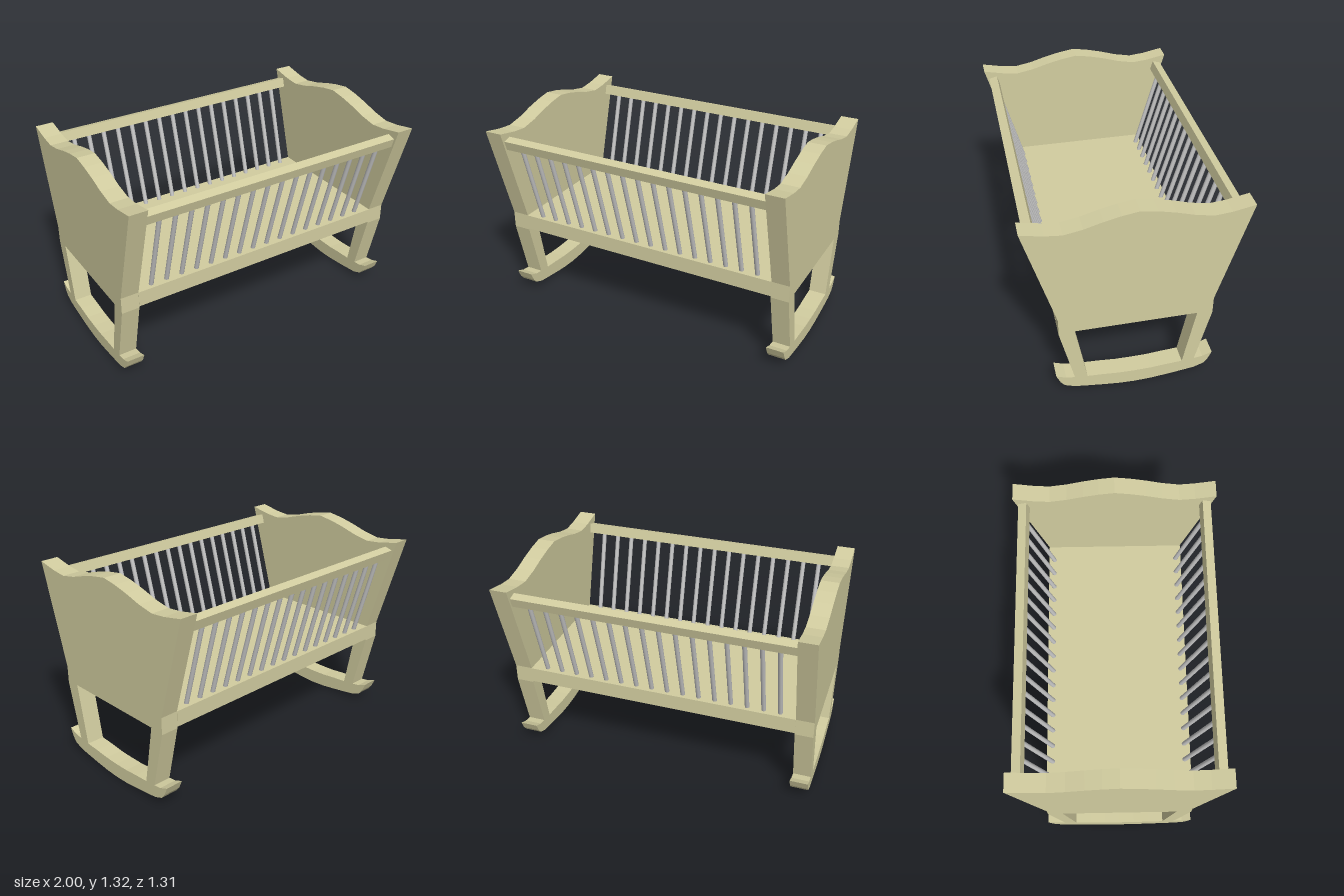
import * as THREE from 'three';

export function createModel() {
  const model = new THREE.Group();
  const wood = new THREE.MeshStandardMaterial({ color: 0xd2cda0 });
  wood.name = 'pale wood';
  const metal = new THREE.MeshStandardMaterial({ color: 0xc4c4c4 });
  metal.name = 'grey rod';

  const add = (geometry, material, name, parent = model) => {
    const mesh = new THREE.Mesh(geometry, material);
    mesh.name = name;
    parent.add(mesh);
    return mesh;
  };

  // Mirror half an outline (first and last points lie on the centre line)
  const mirrored = (half) => [...half, ...half.slice(1, -1).reverse().map(([z, y]) => [-z, y])]
    .map(([z, y]) => new THREE.Vector2(z, y));

  // End panel: rocker, legs, flared board and wavy top in one outline
  const outline = mirrored([
    [0, 0], [0.1, 0.004], [0.2, 0.015], [0.3, 0.028], [0.38, 0.04], [0.44, 0.064], [0.465, 0.095], [0.49, 0.152],
    [0.43, 0.128], [0.376, 0.121], [0.465, 0.5], [0.465, 0.61], [0.655, 1.265],
    [0.52, 1.238], [0.42, 1.228], [0.31, 1.249], [0.2, 1.282], [0.1, 1.306], [0, 1.322],
  ]);
  const opening = mirrored([[0, 0.096], [0.1, 0.098], [0.2, 0.107], [0.298, 0.113], [0.37, 0.51], [0, 0.51]]);
  const shape = new THREE.Shape(outline);
  shape.holes.push(new THREE.Path(opening));
  const thick = 0.115;
  const panel = new THREE.ExtrudeGeometry(shape, { depth: thick, bevelEnabled: false });
  panel.translate(0, 0, -thick / 2).rotateY(Math.PI / 2);
  for (const side of [-1, 1]) {
    add(panel, wood, side > 0 ? 'leftEndPanel' : 'rightEndPanel').position.x = side * (1 - thick / 2);
  }

  // Solid base between the end panels
  const inner = 2 * (1 - thick);
  add(new THREE.BoxGeometry(inner, 0.1, 0.934), wood, 'base').position.y = 0.56;

  // Leaning side rails with a row of rods
  const lean = 0.27, length = 0.62, count = 16;
  const rail = new THREE.BoxGeometry(inner, 0.063, 0.056);
  const rod = new THREE.CylinderGeometry(0.0145, 0.0145, length, 12);
  for (const side of [-1, 1]) {
    const rack = new THREE.Group();
    rack.name = side > 0 ? 'frontSide' : 'backSide';
    rack.position.set(0, 1.183, side * 0.588);
    rack.rotation.x = side * lean;
    model.add(rack);
    add(rail, wood, 'topRail', rack);
    for (let i = 0; i < count; i++) {
      add(rod, metal, 'rod', rack).position.set(-0.782 + (i * 1.564) / (count - 1), -length / 2, 0);
    }
  }
  return model;
}
